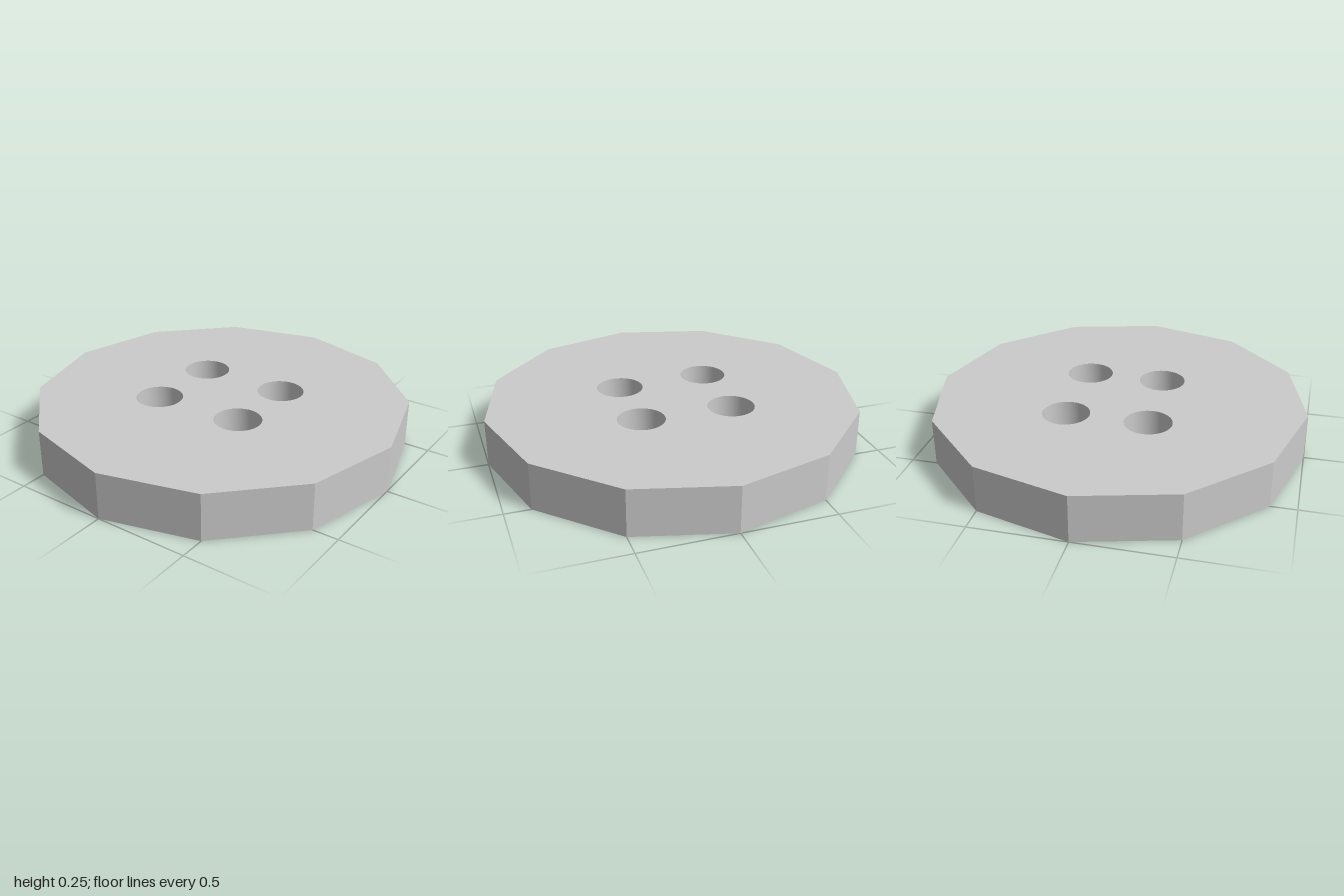
import * as THREE from 'three';
import { toCreasedNormals } from 'three/addons/utils/BufferGeometryUtils.js';

const SIDES = 12;
const THICKNESS = 0.25;
const HOLE_RADIUS = 0.125;
// Thread hole centres as [x, z], slightly uneven
const HOLES = [[-0.257, -0.224], [0.235, -0.224], [-0.257, 0.211], [0.235, 0.188]];

export function createModel() {
  const group = new THREE.Group();
  group.name = 'button';

  // Twelve-sided outline with a corner on each axis
  const outline = new THREE.Shape(Array.from({ length: SIDES }, (_, i) => {
    const a = (i / SIDES) * Math.PI * 2;
    return new THREE.Vector2(Math.cos(a), Math.sin(a));
  }));

  // Round thread holes
  for (const [x, z] of HOLES) {
    outline.holes.push(new THREE.Path().absarc(x, -z, HOLE_RADIUS, 0, Math.PI * 2, true));
  }

  // Disc lying flat: crisp rim facets, smooth hole walls
  const geometry = new THREE.ExtrudeGeometry(outline, {
    depth: THICKNESS, bevelEnabled: false, curveSegments: 24,
  });
  geometry.rotateX(-Math.PI / 2);

  const disc = new THREE.Mesh(
    toCreasedNormals(geometry, 0.35),
    new THREE.MeshStandardMaterial({ color: 0xcccccc }),
  );
  disc.name = 'buttonDisc';
  group.add(disc);
  return group;
}
